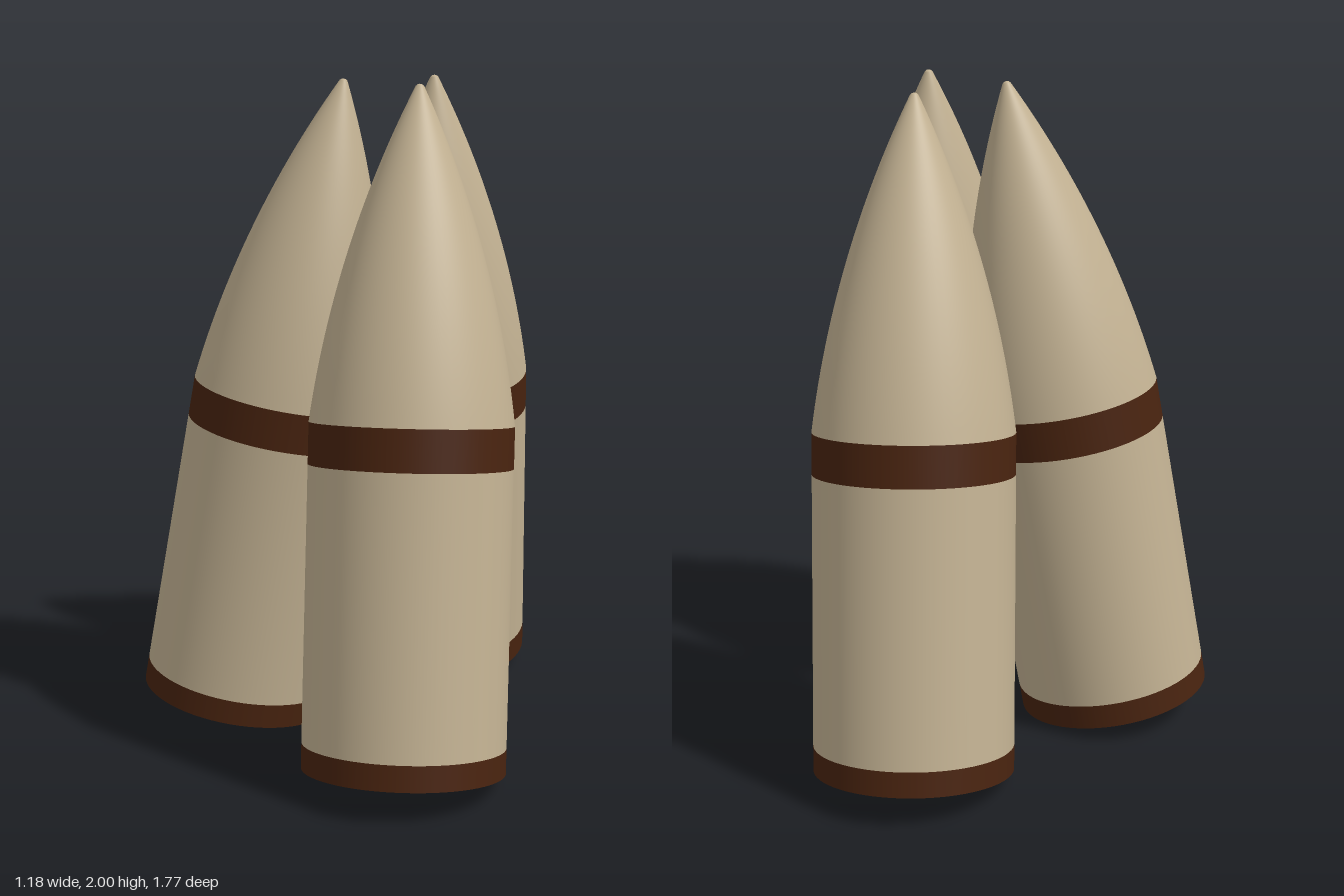
import * as THREE from 'three';

const RADIUS = 0.297;
const SEGMENTS = 64;
const TILT = THREE.MathUtils.degToRad(10);

// heights along the axis of one shell
const BASE_TOP = 0.075;
const BAND_BOTTOM = 0.881;
const BAND_TOP = 1.003;
const TIP = 1.977;
const TIP_RADIUS = 0.012;

const tan = new THREE.MeshStandardMaterial({ color: 0xc2b192 });
tan.name = 'tan';
const brown = new THREE.MeshStandardMaterial({ color: 0x48230f });
brown.name = 'dark brown';

// straight cylindrical section between two heights
function section(name, from, to, material, open) {
  const geometry = new THREE.CylinderGeometry(RADIUS, RADIUS, to - from, SEGMENTS, 1, open);
  geometry.translate(0, (from + to) / 2, 0);
  const mesh = new THREE.Mesh(geometry, material);
  mesh.name = name;
  return mesh;
}

// pointed nose: a circular arc that starts with a slight inward slope
function nose() {
  const run = TIP - 0.006 - BAND_TOP;
  const start = THREE.MathUtils.degToRad(7);
  const chord = Math.atan2(RADIUS - TIP_RADIUS, run);
  const end = 2 * chord - start;
  const arcRadius = run / (Math.sin(end) - Math.sin(start));
  const points = [];
  for (let i = 0; i <= 28; i++) {
    const a = start + (end - start) * (i / 28);
    points.push(new THREE.Vector2(
      RADIUS - arcRadius * (Math.cos(start) - Math.cos(a)),
      BAND_TOP + arcRadius * (Math.sin(a) - Math.sin(start))
    ));
  }
  // small rounded point
  points.push(new THREE.Vector2(TIP_RADIUS * 0.6, TIP - 0.002), new THREE.Vector2(0, TIP));
  const mesh = new THREE.Mesh(new THREE.LatheGeometry(points, SEGMENTS), tan);
  mesh.name = 'nose';
  return mesh;
}

function shell(name) {
  const group = new THREE.Group();
  group.name = name;
  group.add(
    section('baseBand', 0, BASE_TOP, brown, false),
    section('body', BASE_TOP, BAND_BOTTOM, tan, true),
    section('middleBand', BAND_BOTTOM, BAND_TOP, brown, true),
    nose()
  );
  return group;
}

export function createModel() {
  const model = new THREE.Group();
  model.name = 'threeShells';
  const lift = RADIUS * Math.sin(TILT);

  // front and back shells lean toward each other
  for (const side of [1, -1]) {
    const s = shell(side > 0 ? 'frontShell' : 'backShell');
    s.position.set(RADIUS, lift, side * 0.593);
    s.rotation.x = -side * TILT;
    model.add(s);
  }

  // third shell leans in from the right
  const right = shell('rightShell');
  right.position.set(-RADIUS, lift, 0);
  right.rotation.z = -TILT;
  model.add(right);

  return model;
}
